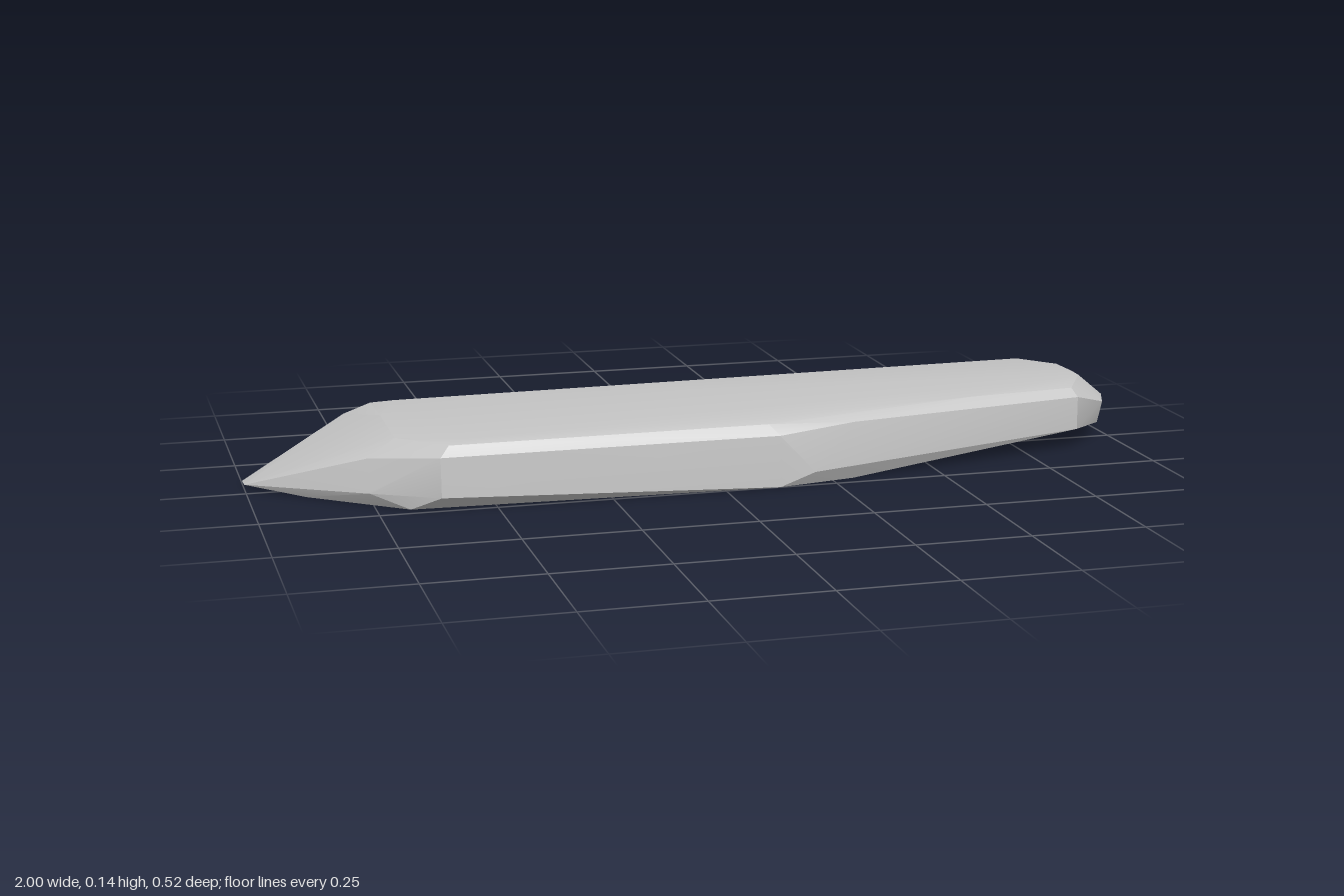
import * as THREE from 'three';
import { ConvexGeometry } from 'three/addons/geometries/ConvexGeometry.js';
import { toCreasedNormals } from 'three/addons/utils/BufferGeometryUtils.js';

// Each level of the slab: corner points as [x, y, z]
const base = [
  [-1, 0.006, -0.09], [-1, 0.01, -0.04], [-0.75, 0, -0.258], [-0.88, 0, 0.06],
  [-0.68, 0, 0.22], [0.12, 0.002, 0.257], [0.3, 0, 0.215], [0.35, 0, -0.247],
];
const lowerRim = [
  [-0.76, 0.03, 0.18], [-0.62, 0.03, 0.258], [0.2, 0.03, 0.255], [0.88, 0.045, 0.095],
  [0.97, 0.035, 0.005], [0.98, 0.056, -0.13], [0.93, 0.03, -0.185], [0.87, 0.05, -0.249],
];
const upperRim = [
  [-0.76, 0.1, 0.155], [-0.62, 0.115, 0.252], [0.12, 0.115, 0.252], [0.3, 0.127, 0.218],
  [0.88, 0.12, 0.095], [0.97, 0.09, 0.03], [1, 0.09, -0.045], [0.96, 0.1, -0.205],
  [0.96, 0.13, -0.13], [0.88, 0.13, -0.244], [-0.76, 0.115, -0.205],
];
// Narrow bevel that rounds the rim into the top
const bevel = [
  [-0.6, 0.138, 0.24], [0.1, 0.138, 0.234], [0.87, 0.139, 0.079], [0.87, 0.14, -0.241],
  [-0.7, 0.138, -0.2],
];
const top = [
  [-0.7, 0.14, 0.15], [-0.55, 0.145, 0.215], [0.1, 0.145, 0.21], [0.6, 0.145, 0.13],
  [0.86, 0.145, 0.06], [0.93, 0.145, -0.02], [0.93, 0.144, -0.15], [0.86, 0.145, -0.228],
  [-0.65, 0.145, -0.18], [-0.7, 0.143, -0.05],
];

export function createModel() {
  const model = new THREE.Group();
  model.name = 'flatRock';
  const stone = new THREE.MeshStandardMaterial({ color: 0xc5c5c5 });
  stone.name = 'grey stone';

  // Faceted stone slab, softened only across shallow edges
  const points = [base, lowerRim, upperRim, bevel, top].flat().map((p) => new THREE.Vector3(...p));
  const slab = new THREE.Mesh(toCreasedNormals(new ConvexGeometry(points), 0.35), stone);
  slab.name = 'stoneSlab';
  model.add(slab);
  return model;
}
